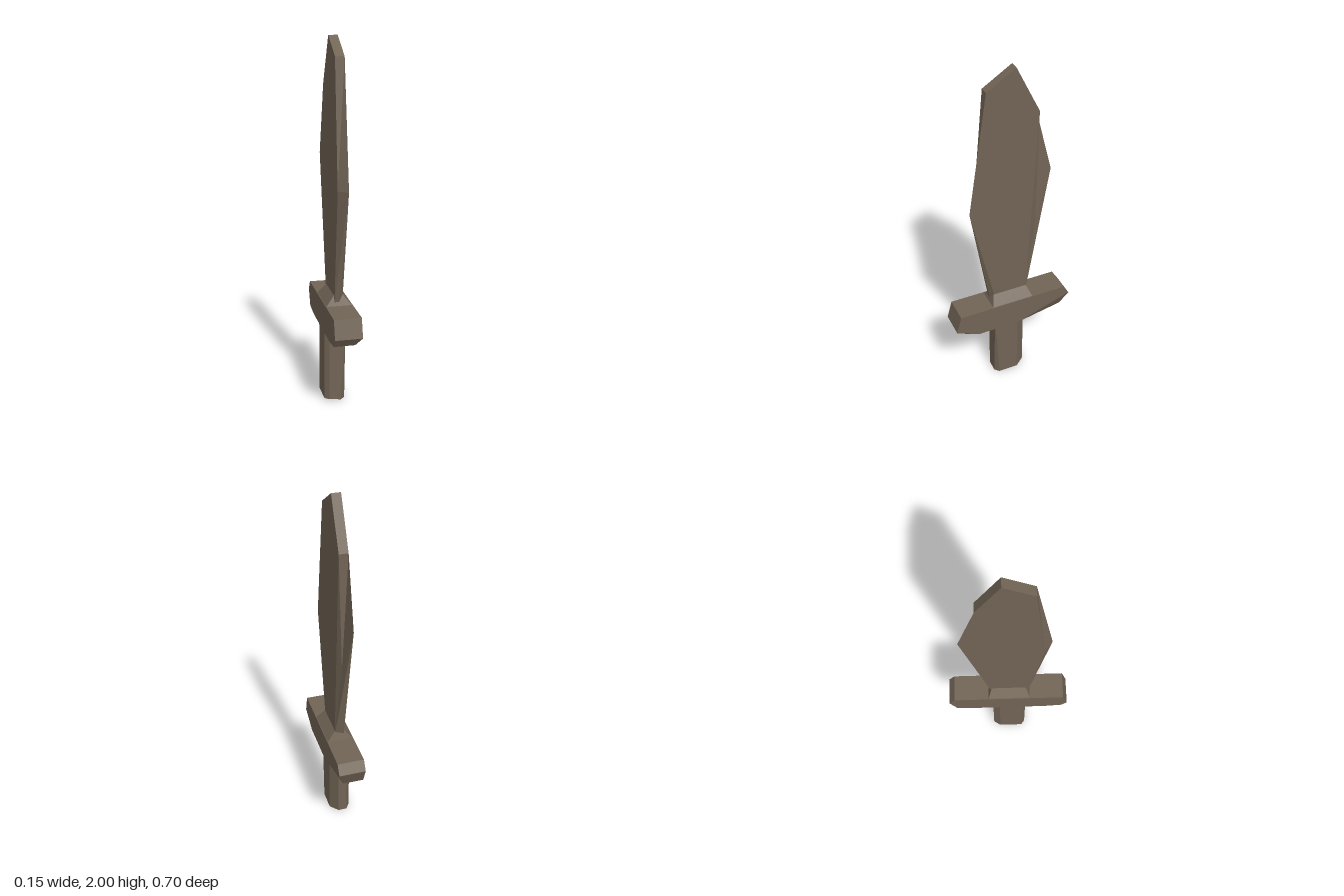
import * as THREE from 'three';
import { ConvexGeometry } from 'three/addons/geometries/ConvexGeometry.js';

const brown = new THREE.MeshStandardMaterial({ color: 0x716455, flatShading: true });
brown.name = 'weathered brown';

// Faceted solid from its corner points
function hull(name, corners) {
  const mesh = new THREE.Mesh(new ConvexGeometry(corners.map(c => new THREE.Vector3(...c))), brown);
  mesh.name = name;
  return mesh;
}

// Flat polygons (corner names, counter-clockwise) fanned into triangles
function polygons(name, corners, faces) {
  const pos = [];
  for (const face of faces) {
    const p = face.split(' ').map(key => corners[key]);
    for (let i = 1; i < p.length - 1; i++) pos.push(...p[0], ...p[i], ...p[i + 1]);
  }
  const geo = new THREE.BufferGeometry();
  geo.setAttribute('position', new THREE.Float32BufferAttribute(pos, 3));
  geo.computeVertexNormals();
  const mesh = new THREE.Mesh(geo, brown);
  mesh.name = name;
  return mesh;
}

export function createModel() {
  const sword = new THREE.Group();
  sword.name = 'shortSword';

  // Blade: l = right side (-x), r = left side (+x); the back edge is hewn away on +x
  const t = 0.025;
  const blade = {
    rootFrontL: [-t, 0.59, 0.12], rootFrontMid: [0, 0.59, 0.12], rootFrontR: [t, 0.59, 0.095],
    bellyL: [-t, 1.22, 0.193], bellyR: [t, 1.22, 0.235],
    shoulderL: [-t, 1.9, 0.13], shoulderR: [t, 1.9, 0.13],
    tipL: [-t, 2, -0.028], tipR: [t, 2, -0.028],
    backL: [-t, 1.74, -0.157], backR: [t, 1.74, -0.157],
    point: [-t, 1.35, -0.255], notch: [0.005, 1.07, -0.157],
    rootBackL: [-t, 0.59, -0.1], rootBackR: [t, 0.59, -0.092],
  };
  sword.add(polygons('blade', blade, [
    'rootFrontR rootBackR backR tipR shoulderR bellyR',
    'rootBackL rootFrontL bellyL shoulderL tipL backL point',
    'rootBackR notch backR',
    'backR notch backL',
    'backL notch point',
    'point notch rootBackR rootBackL',
    'rootFrontL rootFrontMid bellyR bellyL',
    'rootFrontMid rootFrontR bellyR',
    'bellyL bellyR shoulderR shoulderL',
    'shoulderL shoulderR tipR tipL',
    'tipL tipR backR backL',
    'rootBackL rootBackR rootFrontR rootFrontMid rootFrontL',
  ]));

  // Collar: sloped block between blade and guard
  const collar = [];
  for (const s of [-1, 1]) {
    collar.push([s * 0.075, 0.565, 0.13], [s * 0.075, 0.565, -0.117],
      [s * 0.025, 0.625, 0.105], [s * 0.025, 0.625, -0.095]);
  }
  sword.add(hull('collar', collar));

  // Guard: long bar with chipped lower corners
  const guard = [];
  for (const x of [-0.075, 0.075]) {
    guard.push([x, 0.57, 0.325], [x, 0.57, -0.315], [x, 0.465, 0.353], [x, 0.515, -0.35], [x, 0.405, 0.22]);
  }
  for (const x of [-0.075, 0.04]) {
    guard.push([x, 0.42, 0.325], [x, 0.42, -0.31], [x, 0.405, -0.2]);
  }
  guard.push([0.075, 0.405, -0.03]);
  sword.add(hull('guard', guard));

  // Handle: uneven faceted grip, its front corner chamfer widening downwards
  const grip = [];
  for (const [y, chamfer, drop] of [[0.43, 0, 0], [0.01, 0.025, 0.008]]) {
    grip.push([-0.05, y, 0.105], [0.04 - chamfer, y - drop, 0.105], [0.04, y - drop, 0.105 - chamfer],
      [0.04, y - drop, -0.035], [0, y, -0.09], [-0.05, y, -0.09], [-0.075, y, -0.05], [-0.075, y, 0.085]);
  }
  sword.add(hull('handle', grip));

  return sword;
}
